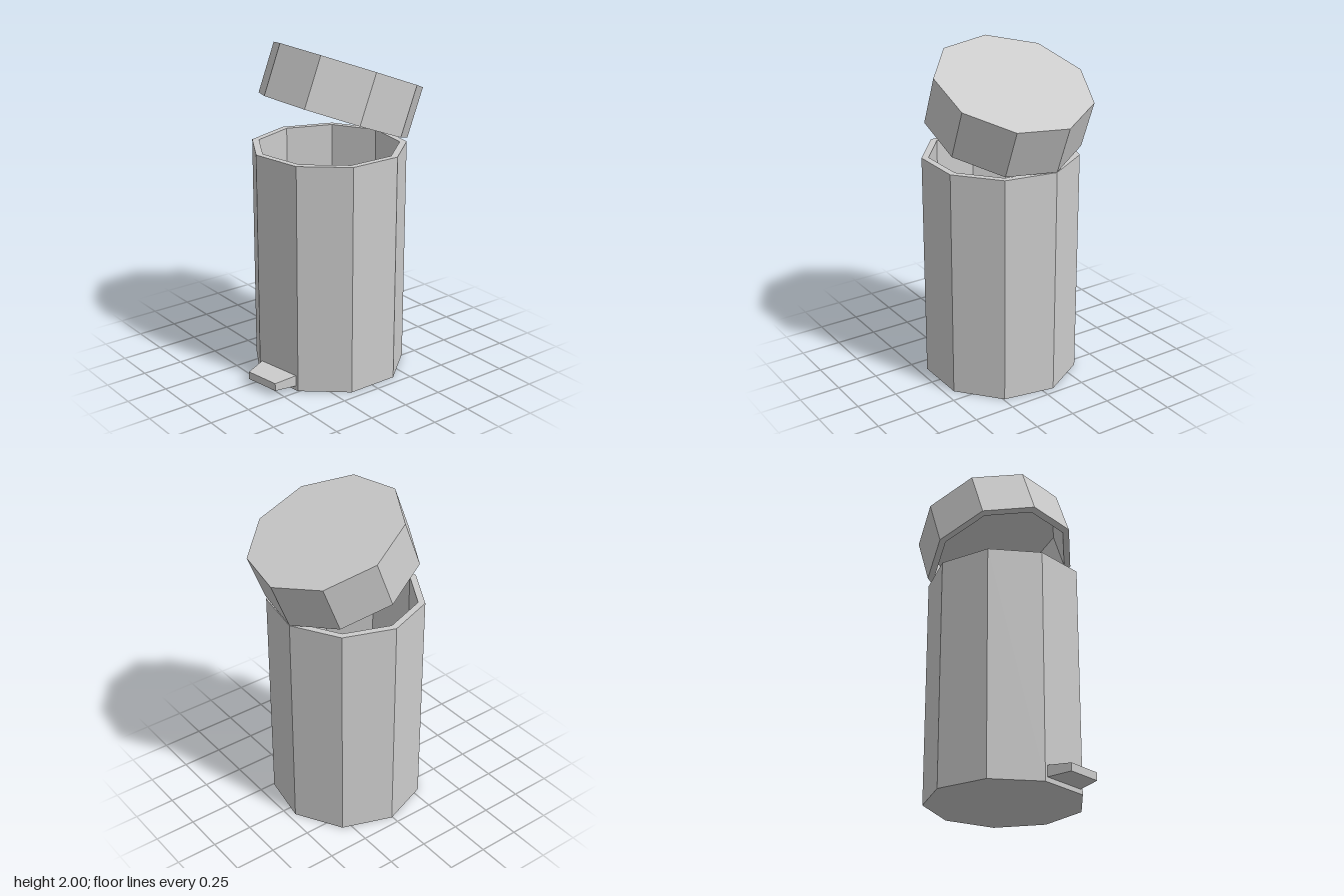
import * as THREE from 'three';

const SIDES = 9, R = 0.4615, INNER = 0.42, CZ = 0.0115, CX = 0.005;
const material = new THREE.MeshStandardMaterial({ color: 0xcccccc, flatShading: true });

// Nine-sided turned part with one flat side facing the front
function turned(name, profile) {
  const points = profile.map(([r, y]) => new THREE.Vector2(r, y));
  const mesh = new THREE.Mesh(new THREE.LatheGeometry(points, SIDES, Math.PI / SIDES), material);
  mesh.name = name;
  return mesh;
}

export function createModel() {
  const bin = new THREE.Group();
  bin.name = 'pedalBin';

  // Open, hollow body
  const H = 1.383, floor = 0.04;
  const body = turned('body', [[0, 0], [R, 0], [R, H], [INNER, H], [INNER, floor], [0, floor]]);
  body.position.set(CX, 0, CZ);
  bin.add(body);

  // Hollow lid, tipped up about a hinge on the left rim
  const lidHeight = 0.307, ceiling = 0.267;
  const reach = R * Math.sin(THREE.MathUtils.degToRad(80));
  const lid = turned('lid', [[0, ceiling], [INNER, ceiling], [INNER, 0], [R, 0], [R, lidHeight], [0, lidHeight]]);
  lid.position.x = -reach;
  const hinge = new THREE.Group();
  hinge.name = 'lidHinge';
  hinge.position.set(CX + reach, H + 0.002, CZ);
  hinge.rotation.z = THREE.MathUtils.degToRad(-21.4);
  hinge.add(lid);
  bin.add(hinge);

  // Foot pedal: a box narrowing toward its outer end, set on one side face
  const length = 0.139;
  const geometry = new THREE.BoxGeometry(0.282, 0.067, length).translate(0, 0, length / 2);
  const p = geometry.attributes.position;
  for (let i = 0; i < p.count; i++) {
    if (p.getZ(i) > length / 2) p.setXY(i, p.getX(i) * 0.775, p.getY(i) * 0.7);
  }
  geometry.computeVertexNormals();
  const pedal = new THREE.Mesh(geometry, material);
  pedal.name = 'pedal';
  const angle = THREE.MathUtils.degToRad(-80), apothem = R * Math.cos(Math.PI / SIDES);
  pedal.rotation.y = angle;
  pedal.position.set(CX + apothem * Math.sin(angle), 0.0615, CZ + apothem * Math.cos(angle));
  bin.add(pedal);

  return bin;
}
